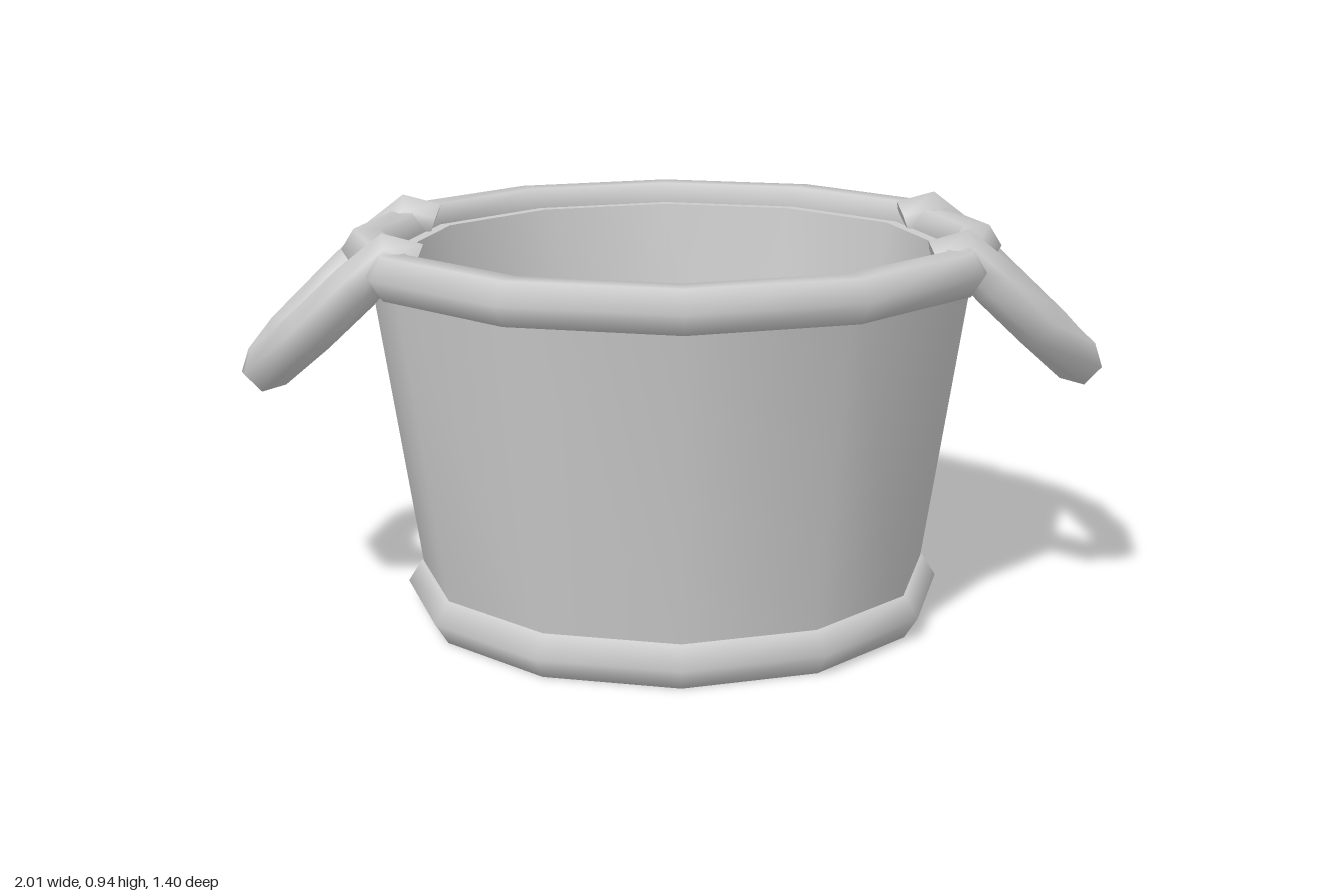
import * as THREE from 'three';
import { toCreasedNormals } from 'three/addons/utils/BufferGeometryUtils.js';

const SIDES = 12;
const STRETCH = 1.087; // the tub is slightly oval, wider along x
const material = new THREE.MeshStandardMaterial({ color: 0xcccccc });

function addMesh(parent, name, geometry) {
  const mesh = new THREE.Mesh(geometry, material);
  mesh.name = name;
  parent.add(mesh);
  return mesh;
}

// Six-sided hoop lying flat around the tub
function hoop(radius, tube) {
  return new THREE.TorusGeometry(radius, tube, 6, SIDES)
    .rotateX(-Math.PI / 2).rotateY(Math.PI / 2).scale(STRETCH, 1, 1);
}

// Mitred six-sided tube along points, with flat caps; up is the normal of the bend plane
function barGeometry(points, radius, up) {
  const n = 6, last = points.length - 1, pos = [], index = [];
  points.forEach((p, i) => {
    const before = p.clone().sub(points[Math.max(i - 1, 0)]).normalize();
    const after = points[Math.min(i + 1, last)].clone().sub(p).normalize();
    const t = before.clone().add(after).normalize();
    const b = t.clone().cross(up).normalize();
    const a = b.clone().cross(t);
    const mitre = i > 0 && i < last ? 1 / Math.max(t.dot(after), 0.8) : 1;
    for (let j = 0; j < n; j++) {
      const w = (j / n) * Math.PI * 2;
      const v = p.clone().addScaledVector(a, Math.cos(w) * radius)
        .addScaledVector(b, Math.sin(w) * radius * mitre);
      pos.push(v.x, v.y, v.z);
    }
  });
  for (let i = 0; i < last; i++) {
    for (let j = 0; j < n; j++) {
      const a = i * n + j, b = i * n + (j + 1) % n;
      index.push(a, b, a + n, b, b + n, a + n);
    }
  }
  // Caps get their own vertices so their edges stay sharp
  for (const ring of [0, last]) {
    const base = pos.length / 3;
    pos.push(...pos.slice(ring * n * 3, (ring + 1) * n * 3));
    for (let j = 1; j < n - 1; j++) {
      if (ring === 0) index.push(base, base + j + 1, base + j);
      else index.push(base, base + j, base + j + 1);
    }
  }
  const geometry = new THREE.BufferGeometry();
  geometry.setAttribute('position', new THREE.Float32BufferAttribute(pos, 3));
  geometry.setIndex(index);
  geometry.computeVertexNormals();
  return geometry;
}

export function createModel() {
  const group = new THREE.Group();
  group.name = 'tub';

  // Hollow tapered body: underside, outer wall, lip, inner wall, floor
  const profile = [
    [0, 0.03], [0.54, 0.03], [0.65, 0.86], [0.565, 0.86], [0.46, 0.06], [0, 0.06],
  ].map(([r, y]) => new THREE.Vector2(r, y));
  const body = new THREE.LatheGeometry(profile, SIDES).scale(STRETCH, 1, 1);
  addMesh(group, 'body', toCreasedNormals(body, 0.7));

  addMesh(group, 'rim', hoop(0.645, 0.055));
  addMesh(group, 'baseRing', hoop(0.525, 0.058).translate(0, 0.05, 0).translate(0, 0, 0));
  group.getObjectByName('rim').position.y = 0.858;

  // Drooping loop handles hooked over the rim
  const half = [
    [0.57, 0.865, 0.25], [0.63, 0.887, 0.25], [0.7, 0.825, 0.258],
    [0.805, 0.725, 0.245], [0.915, 0.622, 0.16],
  ].map((p) => new THREE.Vector3(...p));
  const path = [
    ...half,
    new THREE.Vector3(0.947, 0.585, 0),
    ...half.map((p) => new THREE.Vector3(p.x, p.y, -p.z)).reverse(),
  ];
  const handle = barGeometry(path, 0.056, new THREE.Vector3(0.68, 0.73, 0));
  addMesh(group, 'leftHandle', handle);
  addMesh(group, 'rightHandle', handle).rotation.y = Math.PI;

  return group;
}
